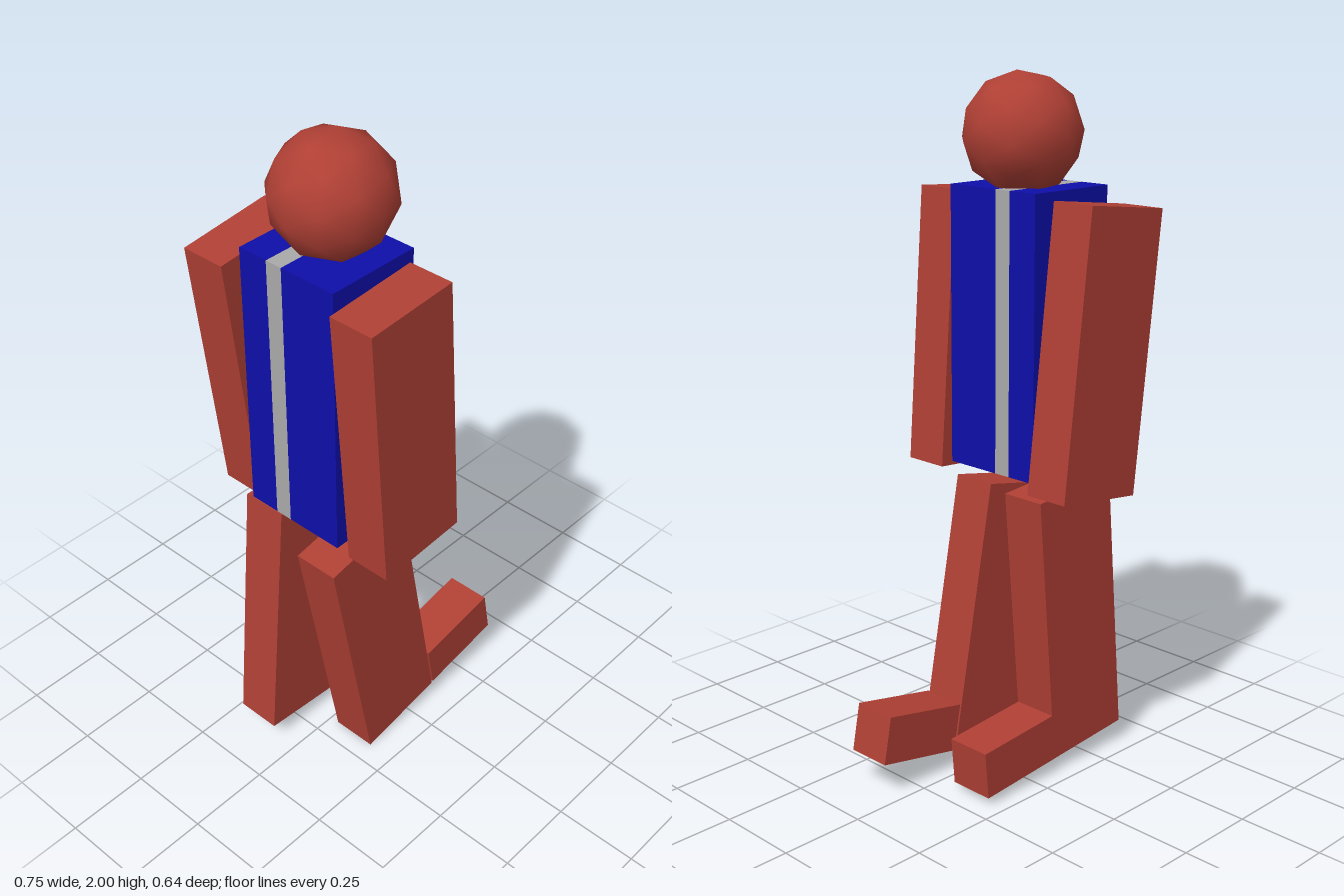
import * as THREE from 'three';

const material = (color) => new THREE.MeshStandardMaterial({ color });

export function createModel() {
  const figure = new THREE.Group();
  figure.name = 'walkingFigure';
  const skin = material(0xb04035);
  const blue = material(0x0e0eaa);
  const grey = material(0xaaaaaa);

  // Box given by size and centre, tilted about z in degrees
  function block(name, mat, size, centre, tilt = 0) {
    const mesh = new THREE.Mesh(new THREE.BoxGeometry(...size), mat);
    mesh.name = name;
    mesh.position.set(...centre);
    mesh.rotation.z = THREE.MathUtils.degToRad(tilt);
    figure.add(mesh);
  }

  // Head: coarse smooth icosphere with one vertex pole along z
  const headGeometry = new THREE.IcosahedronGeometry(0.171, 1);
  headGeometry.rotateX(Math.atan2(0.526, 0.851));
  headGeometry.rotateZ(THREE.MathUtils.degToRad(10));
  const head = new THREE.Mesh(headGeometry, skin);
  head.name = 'head';
  head.position.set(-0.146, 1.831, 0.003);
  figure.add(head);

  // Torso: three slabs side by side, the grey one forming the stripe
  const slabs = [
    ['torsoWide', blue, -0.01, 0.165],
    ['torsoStripe', grey, -0.062, -0.01],
    ['torsoNarrow', blue, -0.156, -0.062],
  ];
  for (const [name, mat, z0, z1] of slabs) {
    block(name, mat, [0.29, 0.8, z1 - z0], [-0.173, 1.29, (z0 + z1) / 2]);
  }

  // Arms and legs share one size
  const limb = [0.289, 0.8, 0.136];
  block('frontArm', skin, limb, [-0.178, 1.262, 0.252], 4.1);
  block('backArm', skin, limb, [-0.165, 1.257, -0.254], 6.7);
  block('frontLeg', skin, limb, [-0.119, 0.425, 0.097], 10.6);
  block('backLeg', skin, limb, [-0.196, 0.458, -0.128], -5);

  // Feet point along +x and tilt with their legs
  const foot = [0.274, 0.14, 0.136];
  block('frontFoot', skin, foot, [0.224, 0.155, 0.097], 10.6);
  block('backFoot', skin, foot, [0.062, 0.11, -0.135], -5);

  return figure;
}
